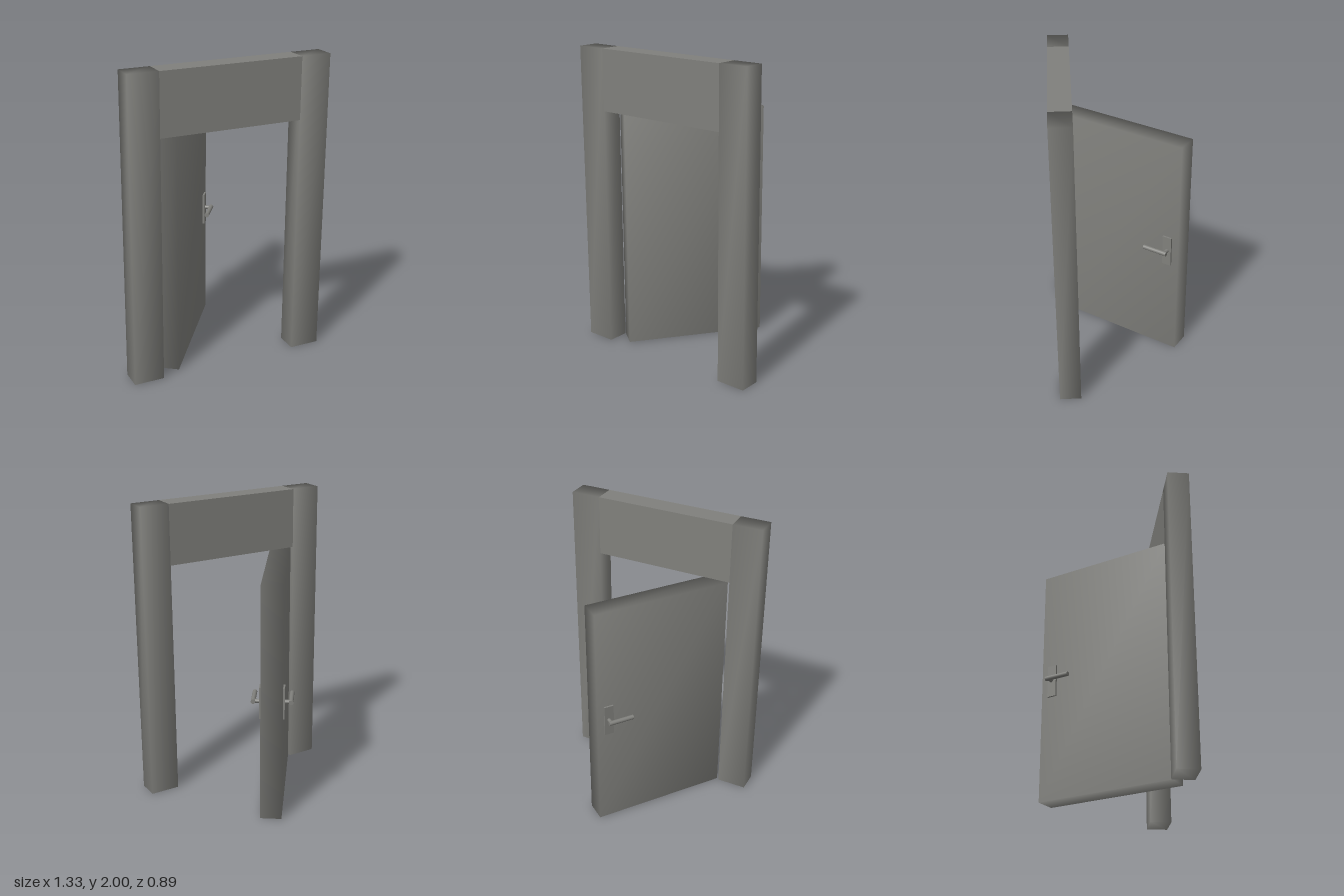
import * as THREE from 'three';
import { mergeVertices } from 'three/addons/utils/BufferGeometryUtils.js';

// Box with normals averaged at its corners
function softBox(w, h, d) {
  const g = new THREE.BoxGeometry(w, h, d);
  g.deleteAttribute('normal');
  g.deleteAttribute('uv');
  const merged = mergeVertices(g);
  merged.computeVertexNormals();
  return merged;
}

export function createModel() {
  const grey = new THREE.MeshStandardMaterial({ color: 0x80807c });
  grey.name = 'grey';
  const model = new THREE.Group();
  model.name = 'doorway';

  const add = (parent, name, geometry, x, y, z) => {
    const mesh = new THREE.Mesh(geometry, grey);
    mesh.name = name;
    mesh.position.set(x, y, z);
    parent.add(mesh);
    return mesh;
  };

  // Frame: two posts and the lintel between them
  const frameZ = 0.375, depth = 0.14;
  for (const [name, side] of [['leftPost', 1], ['rightPost', -1]]) {
    add(model, name, softBox(0.198, 2, depth), side * 0.567, 1, frameZ);
  }
  add(model, 'lintel', new THREE.BoxGeometry(0.936, 0.4, depth), 0, 1.8, frameZ);

  // Door leaf, swung open about its hinge edge; local x runs along the leaf
  const door = new THREE.Group();
  door.name = 'door';
  door.position.set(-0.455, 0, 0.312);
  door.rotation.y = 0.947;
  model.add(door);
  const width = 0.933;
  add(door, 'doorLeaf', softBox(width, 1.592, depth), width / 2, 0.799, depth / 2);

  // A handle on each face: plate, stem and lever
  for (const side of [1, -1]) {
    const handle = new THREE.Group();
    handle.name = side > 0 ? 'frontHandle' : 'backHandle';
    handle.position.set(0.855, 0.81, side > 0 ? depth : 0);
    door.add(handle);
    add(handle, 'handlePlate', new THREE.BoxGeometry(0.064, 0.214, 0.012), -0.002, -0.005, side * 0.006);
    const stem = add(handle, 'handleStem', new THREE.CylinderGeometry(0.013, 0.013, 0.05, 16), 0, 0, side * 0.025);
    stem.rotation.x = Math.PI / 2;
    const lever = add(handle, 'handleLever', new THREE.CylinderGeometry(0.015, 0.015, 0.17, 16), -0.068, 0, side * 0.051);
    lever.rotation.z = Math.PI / 2;
  }
  return model;
}
